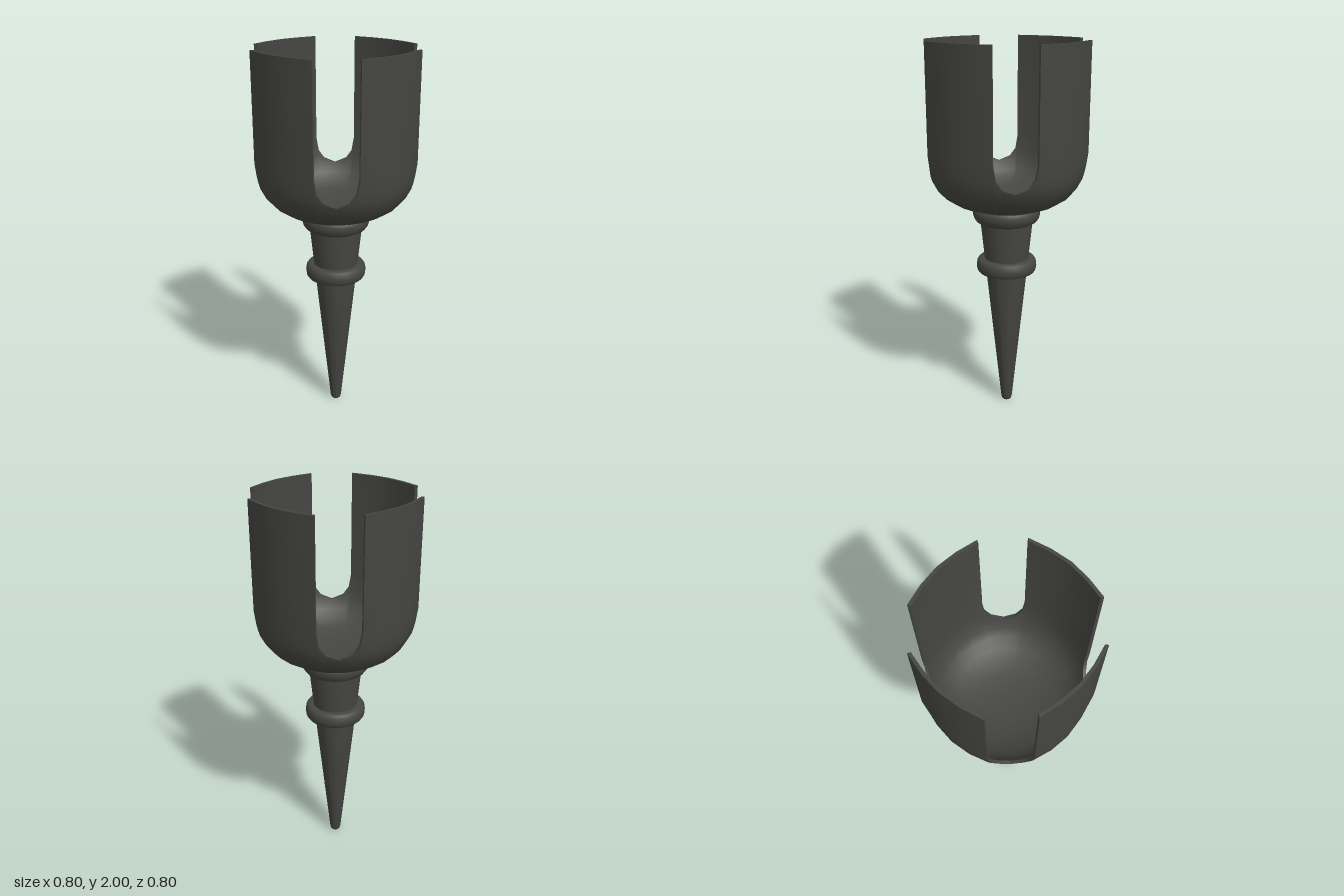
import * as THREE from 'three';
import { toCreasedNormals } from 'three/addons/utils/BufferGeometryUtils.js';

const V2 = (p) => new THREE.Vector2(p[0], p[1]);
const clamp01 = (v) => Math.min(1, Math.max(0, v));
const material = new THREE.MeshStandardMaterial({ color: 0x454543 });

// Outer bowl profile as [radius, height]; the wall is straight above the last point
const BOWL = [[0, 1.14], [0.13, 1.14], [0.2, 1.155], [0.27, 1.18], [0.325, 1.215], [0.36, 1.255],
  [0.385, 1.31], [0.392, 1.345], [0.396, 1.38], [0.4, 1.45], [0.4, 2]];
const WALL = 0.016;

function radiusAt(y) {
  for (let i = 1; i < BOWL.length; i++) {
    const [r0, y0] = BOWL[i - 1], [r1, y1] = BOWL[i];
    if (y <= y1 && y1 > y0) return r0 + (r1 - r0) * clamp01((y - y0) / (y1 - y0));
  }
  return 0.4;
}

// Columns of one quarter: [degrees, rim height, outward bulge]; panel first, then U-shaped slot
const QUARTER = [
  [-30, 2, 0.05], [-15, 2, 0.008], [0, 2, 0], [15, 2, 0.008], [30, 2, 0.05],
  [30, 1.45, 0.05], [31.5, 1.38, 0.048], [36, 1.335, 0.044], [45, 1.31, 0.04],
  [54, 1.335, 0.044], [58.5, 1.38, 0.048], [60, 1.45, 0.05],
];

// One column of the cup: up the outside, over the rim and down the inside
function cupColumn(degrees, rim, bulge) {
  const a = THREE.MathUtils.degToRad(degrees);
  const point = (r, y) => new THREE.Vector3(r * Math.sin(a), y, r * Math.cos(a));
  const outer = [], inner = [];
  for (const [r0, y0] of BOWL) {
    const y = Math.min(y0, rim);
    const r = (y < y0 ? radiusAt(y) : r0) * (1 + bulge * clamp01((y - 1.2) / 0.25));
    const steep = clamp01((y - 1.14) / 0.17);
    outer.push(point(r, y));
    inner.unshift(point(Math.max(0, r - WALL * steep), y + WALL * (1 - steep)));
  }
  return [...outer, ...inner];
}

function cupGeometry() {
  const columns = [];
  for (let q = 0; q < 4; q++)
    for (const [deg, rim, bulge] of QUARTER) columns.push(cupColumn(deg + q * 90, rim, bulge));
  const positions = [];
  const addTriangle = (a, b, c) => {
    const area = b.clone().sub(a).cross(c.clone().sub(a)).length();
    if (area > 1e-8) for (const p of [a, b, c]) positions.push(p.x, p.y, p.z);
  };
  columns.forEach((left, i) => {
    const right = columns[(i + 1) % columns.length];
    for (let j = 0; j < left.length - 1; j++) {
      addTriangle(left[j], right[j], right[j + 1]);
      addTriangle(left[j], right[j + 1], left[j + 1]);
    }
  });
  const geometry = new THREE.BufferGeometry();
  geometry.setAttribute('position', new THREE.Float32BufferAttribute(positions, 3));
  return toCreasedNormals(geometry, 0.65);
}

// Turned part from a bottom-to-top profile
function turned(profile) {
  return toCreasedNormals(new THREE.LatheGeometry(profile.map(V2), 32), 0.8);
}

export function createModel() {
  const group = new THREE.Group();
  const add = (name, geometry) => {
    const mesh = new THREE.Mesh(geometry, material);
    mesh.name = name;
    group.add(mesh);
  };

  // Slotted cup with four upright panels
  add('slottedCup', cupGeometry());

  // Tapered ground spike with a blunt tip
  add('spike', turned([[0, 0], [0.02, 0], [0.026, 0.006], [0.03, 0.02], [0.14, 1.08], [0.14, 1.142]]));

  // Rounded ring around the spike
  add('spikeRing', turned([[0.1, 0.785], [0.138, 0.785], [0.15, 0.79], [0.158, 0.802], [0.161, 0.825],
    [0.158, 0.848], [0.15, 0.86], [0.138, 0.865], [0.1, 0.865]]));

  // Rounded collar under the cup
  add('collar', turned([[0.12, 1.065], [0.145, 1.065], [0.16, 1.073], [0.171, 1.088], [0.177, 1.108],
    [0.177, 1.125], [0.172, 1.14], [0.16, 1.146], [0.12, 1.146]]));

  return group;
}
